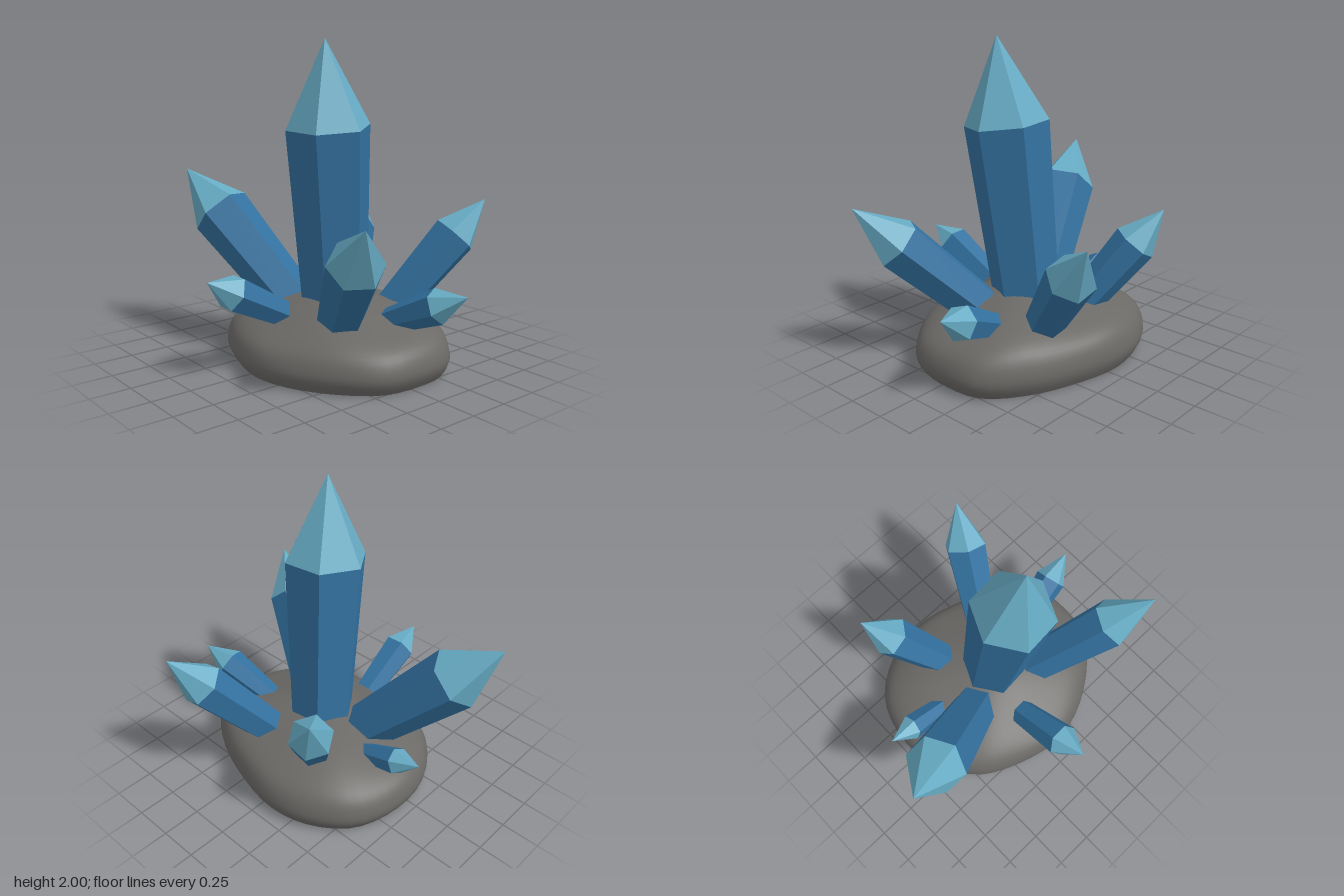
import * as THREE from 'three';

const ROCK = new THREE.MeshStandardMaterial({ color: 0x6b6966 });
const SHAFT = new THREE.MeshStandardMaterial({ color: 0x33719f, flatShading: true });
const TIP = new THREE.MeshStandardMaterial({ color: 0x66abc4, flatShading: true });

// Plan outline of the rock as x, z pairs, running from +x towards +z
const OUTLINE = [
  [0.83, -0.05], [0.79, 0.2], [0.62, 0.4], [0.35, 0.57], [0.08, 0.63], [-0.24, 0.56],
  [-0.5, 0.42], [-0.69, 0.12], [-0.71, -0.18], [-0.61, -0.45], [-0.37, -0.63],
  [-0.08, -0.69], [0.24, -0.63], [0.56, -0.5], [0.79, -0.3],
];
const CENTRE = new THREE.Vector3(0.06, 0, -0.02);

// Rings of the outline, scaled and raised along a profile of (scale, height)
function rockSurface(name, profile, bumps) {
  const n = 48;
  const curve = new THREE.CatmullRomCurve3(OUTLINE.map(([x, z]) => new THREE.Vector3(x, 0, z)), true);
  const rim = curve.getPoints(n).slice(0, n);
  const pos = [], index = [];
  profile.forEach((p) => {
    rim.forEach((r) => {
      const q = r.clone().sub(CENTRE).multiplyScalar(p.x).add(CENTRE);
      const weight = bumps * Math.min(1, p.y / 0.25);
      const bump = 0.014 * Math.sin(7 * q.x + 1) * Math.cos(8 * q.z) - 0.035 * q.z;
      pos.push(q.x, p.y + weight * bump, q.z);
    });
  });
  for (let i = 0; i < profile.length - 1; i++) {
    for (let j = 0; j < n; j++) {
      const k = (j + 1) % n;
      const a = i * n + j, b = a + n, c = i * n + k, d = c + n;
      index.push(a, b, c, b, d, c);
    }
  }
  const geo = new THREE.BufferGeometry();
  geo.setAttribute('position', new THREE.Float32BufferAttribute(pos, 3));
  geo.setIndex(index);
  geo.computeVertexNormals();
  const mesh = new THREE.Mesh(geo, ROCK);
  mesh.name = name;
  return mesh;
}

// Six-sided crystal: shaft widening from the base to a shoulder, then a point
function crystal(name, base, tip, shoulder, rBase, rShoulder, roll = 30) {
  const from = new THREE.Vector3(...base);
  const axis = new THREE.Vector3(...tip).sub(from);
  const length = axis.length();
  const shaftLength = length * shoulder, tipLength = length - shaftLength;
  const angle = THREE.MathUtils.degToRad(roll);

  const shaftGeo = new THREE.CylinderGeometry(rShoulder, rBase, shaftLength, 6, 1, true);
  shaftGeo.rotateY(angle).translate(0, shaftLength / 2, 0);
  const shaft = new THREE.Mesh(shaftGeo, SHAFT);
  shaft.name = name + 'Shaft';

  const tipGeo = new THREE.ConeGeometry(rShoulder, tipLength, 6, 1, true);
  tipGeo.rotateY(angle).translate(0, shaftLength + tipLength / 2, 0);
  const point = new THREE.Mesh(tipGeo, TIP);
  point.name = name + 'Tip';

  const group = new THREE.Group();
  group.name = name;
  group.add(shaft, point);
  group.position.copy(from);
  group.quaternion.setFromUnitVectors(new THREE.Vector3(0, 1, 0), axis.normalize());
  return group;
}

export function createModel() {
  const model = new THREE.Group();
  model.name = 'crystalCluster';

  // Rounded rock with a flat underside
  const profile = new THREE.SplineCurve([
    [0.94, 0], [0.99, 0.06], [1, 0.12], [0.96, 0.2], [0.87, 0.26], [0.7, 0.32],
    [0.47, 0.38], [0.24, 0.415], [0.001, 0.425],
  ].map(([s, y]) => new THREE.Vector2(s, y))).getPoints(24);
  model.add(rockSurface('rock', profile, 1));
  model.add(rockSurface('rockUnderside', [new THREE.Vector2(0.001, 0), new THREE.Vector2(0.94, 0)], 0));

  // Crystals: base, tip, shoulder fraction, base and shoulder radius
  model.add(
    crystal('mainCrystal', [0.06, 0.3, -0.03], [0.15, 2, 0.13], 0.69, 0.21, 0.265, 35),
    crystal('frontRightCrystal', [-0.2, 0.29, 0.08], [-1, 1.14, 0.42], 0.68, 0.155, 0.2),
    crystal('frontLeftCrystal', [0.3, 0.3, 0.14], [0.97, 1.03, 0.53], 0.67, 0.14, 0.168),
    crystal('backLeftCrystal', [0.25, 0.28, -0.32], [0.545, 0.99, -0.88], 0.68, 0.12, 0.15),
    crystal('backRightCrystal', [-0.13, 0.3, -0.31], [-0.48, 0.94, -0.69], 0.66, 0.11, 0.14),
    crystal('frontCrystal', [-0.01, 0.34, 0.35], [0.01, 0.62, 0.88], 0.67, 0.09, 0.115),
    crystal('leftCrystal', [0.42, 0.29, -0.11], [0.99, 0.55, -0.23], 0.67, 0.075, 0.11),
    crystal('rightCrystal', [-0.37, 0.29, -0.08], [-0.81, 0.45, -0.09], 0.62, 0.065, 0.088),
  );
  return model;
}
